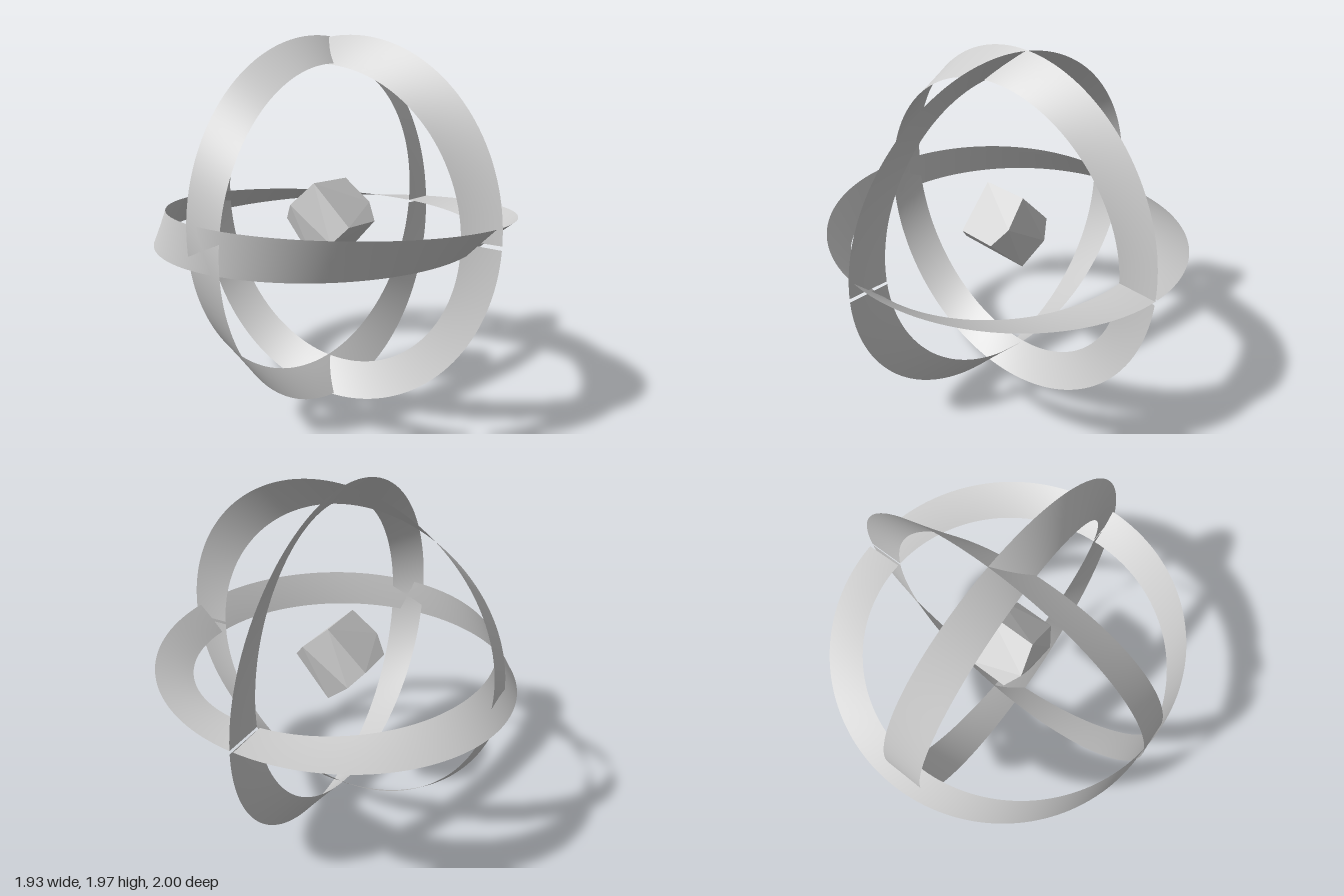
import * as THREE from 'three';
import { ConvexGeometry } from 'three/addons/geometries/ConvexGeometry.js';
import { ParametricGeometry } from 'three/addons/geometries/ParametricGeometry.js';

const RADIUS = 0.9095, HALF_WIDTH = 0.106, SEAM_GAP = 0.02;
const V = (x, y, z) => new THREE.Vector3(x, y, z);

// A band that makes a half twist on its way round; it lies flat at "start"
// and runs toward "next", with "axis" across the plane of the ring.
function twistedRing(name, start, next, axis, material) {
  const radial = V(0, 0, 0);
  const geometry = new ParametricGeometry((u, v, target) => {
    const a = u * (Math.PI * 2 - SEAM_GAP);
    const across = (v * 2 - 1) * HALF_WIDTH;
    radial.copy(start).multiplyScalar(Math.cos(a)).addScaledVector(next, Math.sin(a));
    target.copy(radial).multiplyScalar(RADIUS + across * Math.cos(a / 2))
      .addScaledVector(axis, across * Math.sin(a / 2));
  }, 160, 8);
  geometry.computeVertexNormals();
  const mesh = new THREE.Mesh(geometry, material);
  mesh.name = name;
  return mesh;
}

// Faceted core: three corner points repeated by half turns about each axis
function coreGeometry() {
  const corners = [V(0.138, 0.217, 0), V(0.115, 0, 0.217), V(0.172, 0.09, 0.14)];
  const halfTurns = [[1, 1, 1], [-1, 1, -1], [1, -1, -1], [-1, -1, 1]];
  const points = [];
  for (const c of corners) {
    for (const [x, y, z] of halfTurns) points.push(V(c.x * x, c.y * y, c.z * z));
  }
  return new ConvexGeometry(points);
}

export function createModel() {
  const group = new THREE.Group();
  group.name = 'twistedRingSphere';
  const band = new THREE.MeshStandardMaterial({ color: 0xcccccc, side: THREE.DoubleSide });
  const facet = new THREE.MeshStandardMaterial({ color: 0xcccccc, flatShading: true });

  // Three interlocking rings at right angles
  group.add(
    twistedRing('horizontalRing', V(1, 0, 0), V(0, 0, 1), V(0, 1, 0), band),
    twistedRing('frontRing', V(1, 0, 0), V(0, 1, 0), V(0, 0, -1), band),
    twistedRing('sideRing', V(0, 0, 1), V(0, 1, 0), V(1, 0, 0), band),
  );

  // Floating core in the middle
  const core = new THREE.Mesh(coreGeometry(), facet);
  core.name = 'core';
  group.add(core);

  group.position.set(-0.053, 0.985, -0.0155);
  const model = new THREE.Group();
  model.name = 'model';
  model.add(group);
  return model;
}
